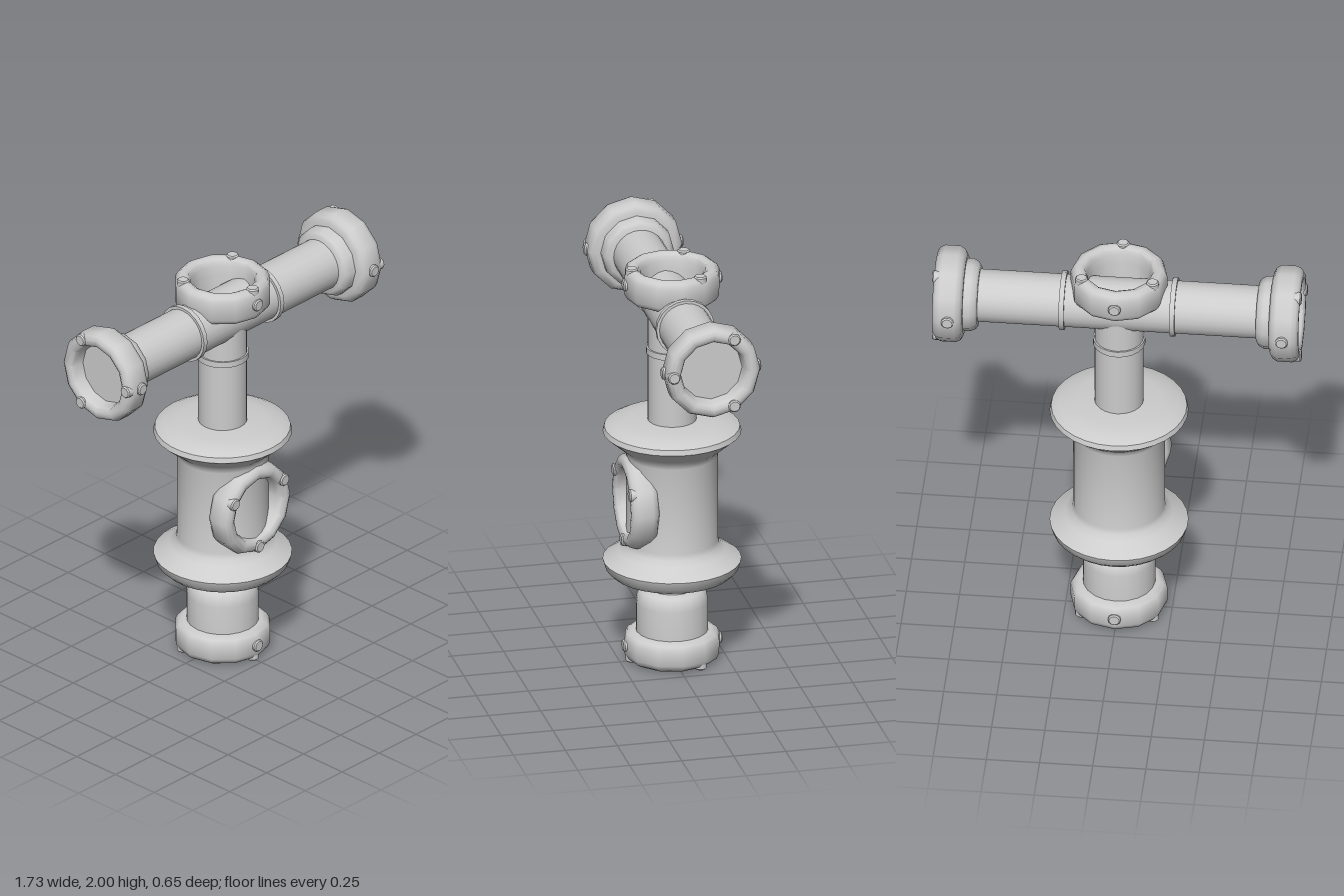
import * as THREE from 'three';
import { toCreasedNormals } from 'three/addons/utils/BufferGeometryUtils.js';

export function createModel() {
  const model = new THREE.Group();
  model.name = 'pipeFitting';
  const grey = new THREE.MeshStandardMaterial({ color: 0xcccccc });
  grey.name = 'light grey';

  const PIPE_Y = 1.772;

  function add(parent, name, geometry, x = 0, y = 0, z = 0) {
    const mesh = new THREE.Mesh(geometry, grey);
    mesh.name = name;
    mesh.position.set(x, y, z);
    parent.add(mesh);
    return mesh;
  }

  // Turned part from [radius, height] pairs, listed upward along the outside
  function turned(profile, sides) {
    const points = profile.map(([r, y]) => new THREE.Vector2(r, y));
    return toCreasedNormals(new THREE.LatheGeometry(points, sides), 0.75);
  }

  // Round stud: a short cylinder with a softened rim, pointing up
  const stud = turned([[0.03, -0.03], [0.03, 0.004], [0.024, 0.01], [0, 0.01]], 12);

  // Rounded open collar with its face at y = 0, three face studs and two rim studs
  function collar(name, depth, rimStuds = true) {
    const group = new THREE.Group();
    group.name = name;
    add(group, 'collarRing', turned([
      [0.14, -depth], [0.19, -depth], [0.215, -depth + 0.012], [0.228, -depth + 0.035],
      [0.228, -0.035], [0.218, -0.012], [0.2, 0], [0.18, 0], [0.163, -0.01],
      [0.153, -0.035], [0.148, -0.08], [0.14, -depth],
    ], 12));
    for (const degrees of [30, 150, 270]) {
      const a = THREE.MathUtils.degToRad(degrees);
      add(group, 'faceStud', stud, 0.193 * Math.cos(a), -0.003, -0.193 * Math.sin(a));
    }
    if (rimStuds) {
      for (const side of [1, -1]) {
        add(group, 'rimStud', stud, 0, -0.075, side * 0.227).rotation.x = side * Math.PI / 2;
      }
    }
    model.add(group);
    return group;
  }

  // Cross pipe with a band, socket and collar on each side
  const pipe = new THREE.CylinderGeometry(0.125, 0.125, 1.5, 24);
  add(model, 'crossPipe', pipe, 0, PIPE_Y).rotation.z = Math.PI / 2;
  const band = new THREE.CylinderGeometry(0.139, 0.139, 0.024, 20);
  const socket = turned([
    [0, 0], [0.145, 0], [0.16, 0.01], [0.172, 0.035], [0.172, 0.135], [0, 0.135],
  ], 12);
  for (const side of [1, -1]) {
    const turn = -side * Math.PI / 2;
    add(model, 'pipeBand', band, side * 0.26, PIPE_Y).rotation.z = turn;
    add(model, 'endSocket', socket, side * 0.655, PIPE_Y).rotation.z = turn;
    const end = collar('endCollar', 0.14);
    end.position.set(side * 0.86, PIPE_Y, 0);
    end.rotation.z = turn;
  }

  // Top opening
  collar('topCollar', 0.16).position.y = 1.98;

  // Upright pipe and its band
  add(model, 'uprightPipe', new THREE.CylinderGeometry(0.115, 0.115, 1.4, 24), 0, 1.05);
  add(model, 'uprightBand', new THREE.CylinderGeometry(0.123, 0.123, 0.03, 20), 0, 1.563);

  // Spool-shaped body with a flared flange at either end
  add(model, 'body', turned([
    [0, 0.42], [0.23, 0.423], [0.285, 0.438], [0.313, 0.465], [0.325, 0.505],
    [0.25, 0.555], [0.222, 0.578], [0.215, 0.605],
    [0.215, 1.035], [0.222, 1.062], [0.25, 1.085],
    [0.325, 1.15], [0.318, 1.175], [0.28, 1.195], [0.2, 1.208], [0, 1.212],
  ], 30));

  // Front opening
  const front = collar('frontCollar', 0.135, false);
  front.position.set(0, 0.81, 0.24);
  front.rotation.x = Math.PI / 2;

  // Foot socket and collar
  add(model, 'footSocket', turned([
    [0, 0.075], [0.17, 0.075], [0.17, 0.29], [0.164, 0.325], [0.148, 0.35], [0.12, 0.362], [0, 0.365],
  ], 20));
  const foot = collar('footCollar', 0.14);
  foot.position.y = 0.008;
  foot.rotation.z = Math.PI;

  return model;
}
